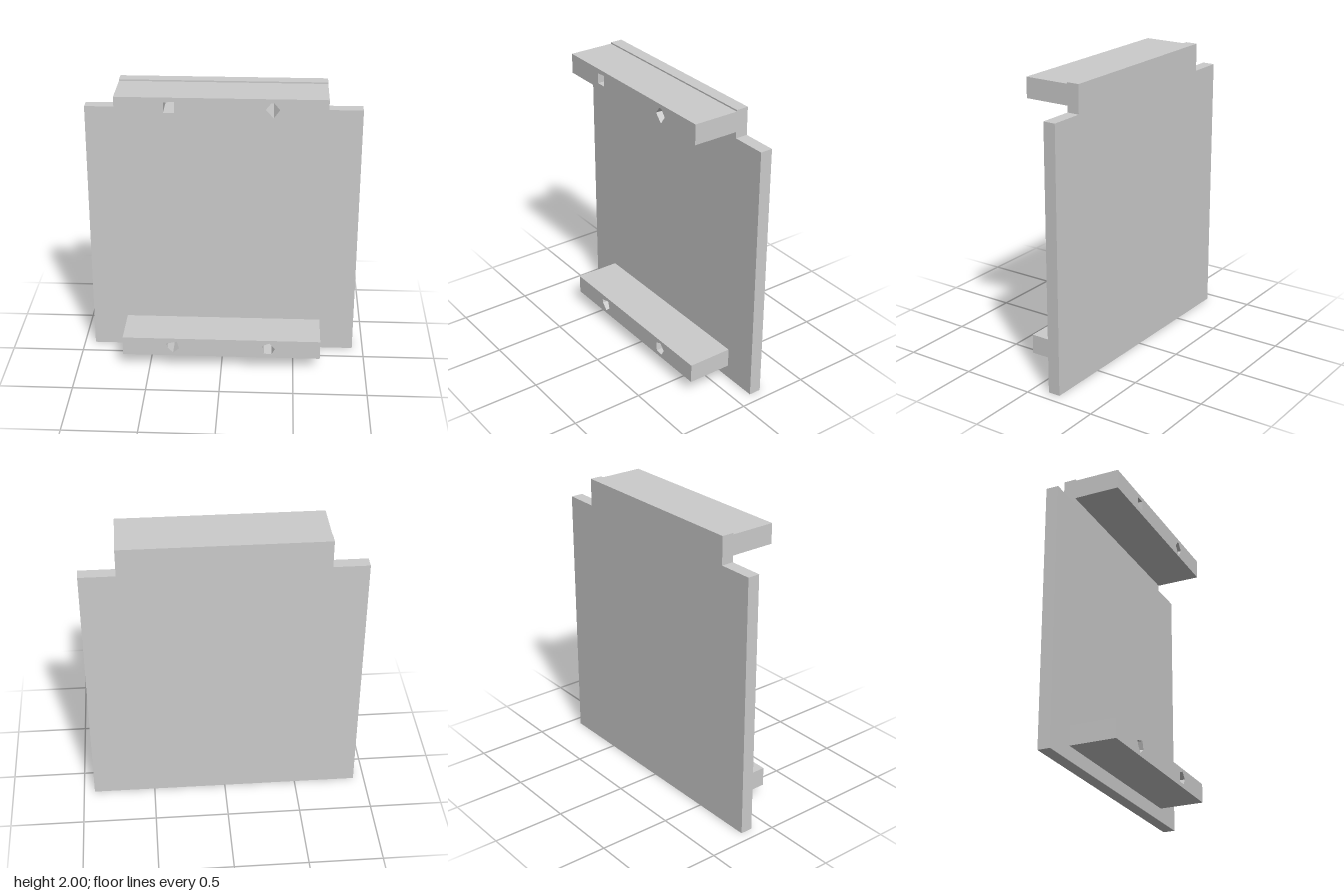
import * as THREE from 'three';

const material = new THREE.MeshStandardMaterial({ color: 0xcccccc, flatShading: true });
const points = (list) => list.map(([x, y]) => new THREE.Vector2(x, y));

// Extrudes an outline in x/y, with optional holes, from z0 to z1
function slab(name, outline, holes, z0, z1) {
  const shape = new THREE.Shape(points(outline));
  for (const hole of holes) shape.holes.push(new THREE.Path(points(hole)));
  const geometry = new THREE.ExtrudeGeometry(shape, { depth: z1 - z0, bevelEnabled: false });
  geometry.translate(0, 0, z0);
  const mesh = new THREE.Mesh(geometry, material);
  mesh.name = name;
  return mesh;
}

export function createModel() {
  const group = new THREE.Group();
  group.name = 'panelWithRails';
  const w = 0.925, r = 0.685, back = -0.2, face = -0.115, front = 0.2;

  // Upright panel with notched upper corners
  group.add(slab('panel', [
    [-w, 0], [w, 0], [w, 1.81], [r, 1.81], [r, 2], [-r, 2], [-r, 1.81], [-w, 1.81],
  ], [], back, face));

  // Rails with rough-cut screw holes running through to the panel
  const rail = (name, y0, y1, holes) => group.add(slab(name,
    [[-r, y0], [r, y0], [r, y1], [-r, y1]], holes, face, front));

  rail('upperRail', 1.853, 1.99, [
    [[-0.37, 1.887], [-0.3, 1.887], [-0.296, 1.963], [-0.367, 1.957]],
    [[0.283, 1.918], [0.335, 1.863], [0.375, 1.918], [0.338, 1.963], [0.318, 1.963]],
  ]);
  rail('lowerRail', 0.095, 0.228, [
    [[-0.375, 0.16], [-0.335, 0.117], [-0.293, 0.152], [-0.308, 0.205], [-0.38, 0.187]],
    [[0.293, 0.127], [0.35, 0.122], [0.373, 0.165], [0.335, 0.208], [0.287, 0.188]],
  ]);
  return group;
}
